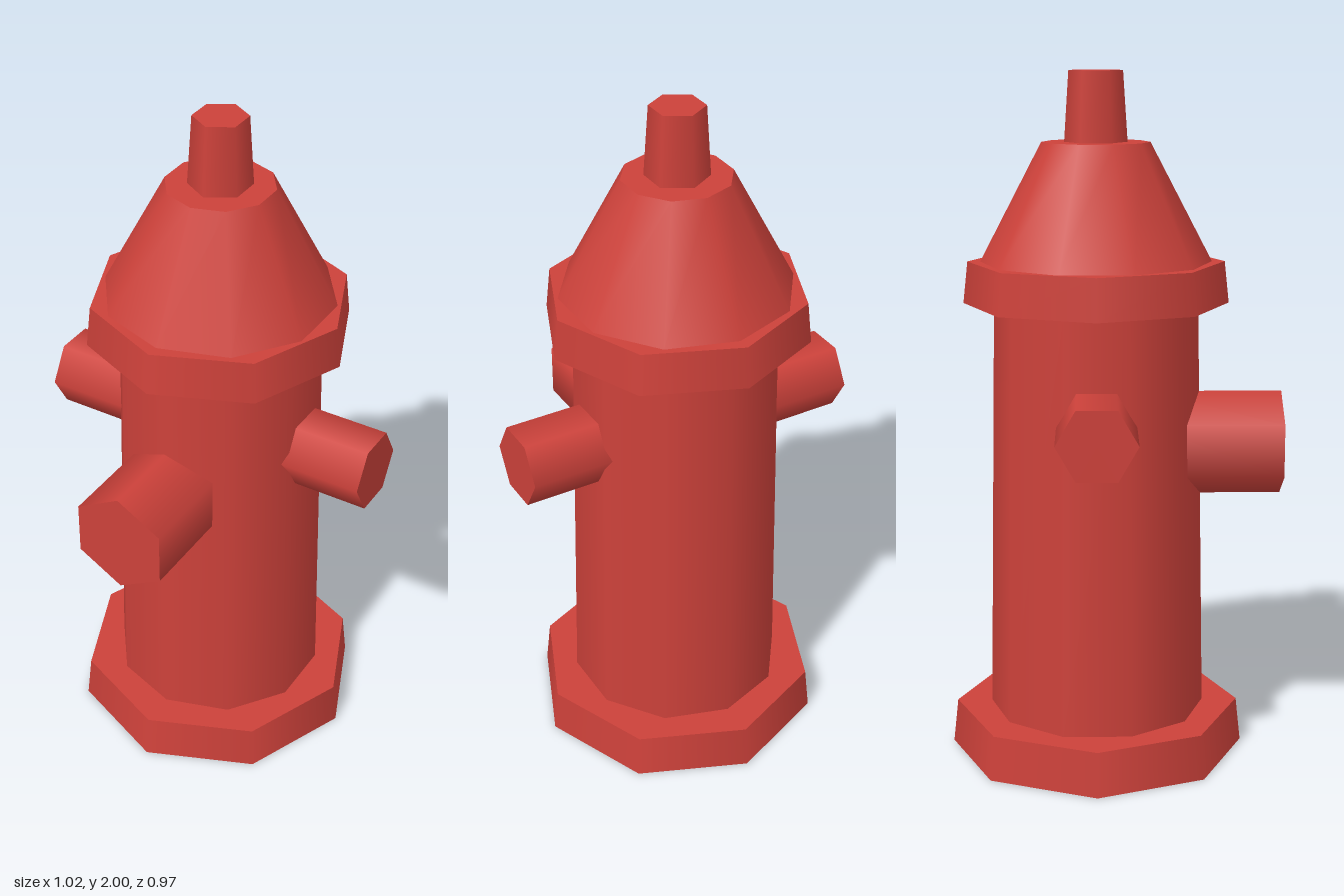
import * as THREE from 'three';

export function createModel() {
  const model = new THREE.Group();
  model.name = 'fireHydrant';
  const red = new THREE.MeshStandardMaterial({ color: 0xcc413a });
  red.name = 'hydrantRed';
  const axisZ = -0.053; // the upright axis sits behind centre, balancing the front outlet

  function add(name, geometry, x, y, z) {
    const mesh = new THREE.Mesh(geometry, red);
    mesh.name = name;
    mesh.position.set(x, y, z);
    model.add(mesh);
    return mesh;
  }

  // Upright tapered sections: name, bottom radius, top radius, bottom y, top y, sides
  const sections = [
    ['base', 0.434, 0.42, 0, 0.13, 8],
    ['barrel', 0.317, 0.295, 0.13, 1.34, 10],
    ['collar', 0.383, 0.37, 1.34, 1.46, 8],
    ['bonnet', 0.333, 0.155, 1.46, 1.8, 10],
    ['topNut', 0.09, 0.077, 1.8, 2, 6],
  ];
  for (const [name, r0, r1, y0, y1, sides] of sections) {
    add(name, new THREE.CylinderGeometry(r1, r0, y1 - y0, sides), 0, (y0 + y1) / 2, axisZ);
  }

  // Hexagonal side outlets, starting inside the barrel
  for (const side of [-1, 1]) {
    const outlet = new THREE.CylinderGeometry(0.113, 0.113, 0.362, 6);
    outlet.rotateZ(-side * Math.PI / 2);
    add(side > 0 ? 'leftOutlet' : 'rightOutlet', outlet, side * 0.331, 1.03, axisZ);
  }

  // Larger front outlet
  const front = new THREE.CylinderGeometry(0.153, 0.153, 0.387, 6);
  front.rotateX(Math.PI / 2);
  add('frontOutlet', front, 0, 0.927, 0.2935);

  return model;
}
